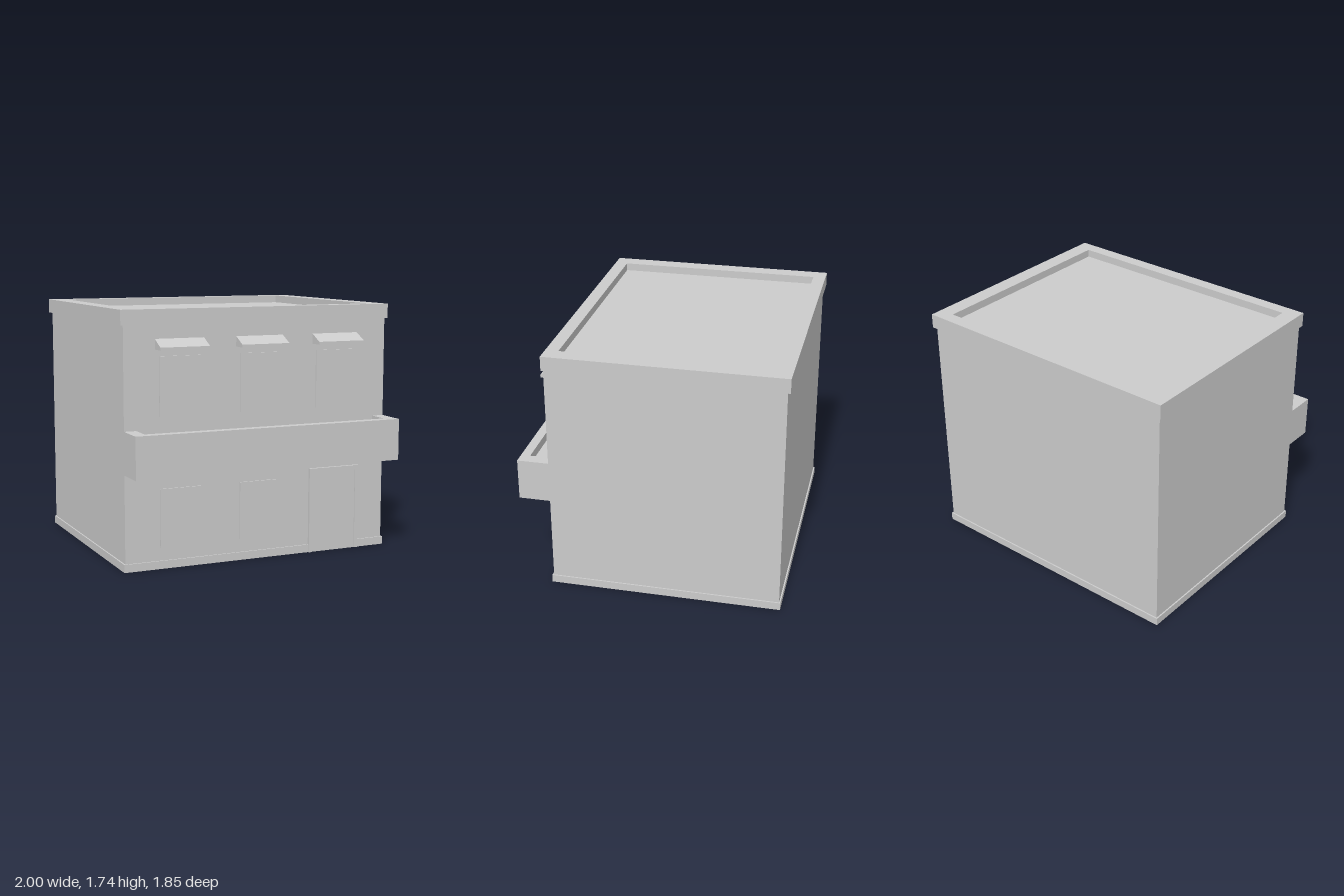
import * as THREE from 'three';

const material = new THREE.MeshStandardMaterial({ color: 0xcccccc, flatShading: true });

export function createModel() {
  const model = new THREE.Group();

  function add(name, geometry) {
    const mesh = new THREE.Mesh(geometry, material);
    mesh.name = name;
    model.add(mesh);
    return mesh;
  }

  // Box given by its limits on each axis
  function box(name, x0, x1, y0, y1, z0, z1) {
    const mesh = add(name, new THREE.BoxGeometry(x1 - x0, y1 - y0, z1 - z0));
    mesh.position.set((x0 + x1) / 2, (y0 + y1) / 2, (z0 + z1) / 2);
    return mesh;
  }

  const rectangle = (Type, x0, x1, y0, y1) => new Type([
    new THREE.Vector2(x0, y0), new THREE.Vector2(x1, y0),
    new THREE.Vector2(x1, y1), new THREE.Vector2(x0, y1),
  ]);

  // Horizontal rim: outer and inner rectangles as [halfWidth, zBack, zFront]
  function rim(name, outer, inner, y0, y1) {
    const shape = rectangle(THREE.Shape, -outer[0], outer[0], -outer[2], -outer[1]);
    shape.holes.push(rectangle(THREE.Path, -inner[0], inner[0], -inner[2], -inner[1]));
    const geometry = new THREE.ExtrudeGeometry(shape, { depth: y1 - y0, bevelEnabled: false });
    geometry.rotateX(-Math.PI / 2);
    add(name, geometry).position.y = y0;
  }

  // Main block and plinth
  box('walls', -0.98, 0.98, 0, 1.66, -0.905, 0.7);
  box('plinth', -0.99, 0.99, 0, 0.055, -0.915, 0.71);

  // Flat roof sunk behind a parapet
  rim('parapet', [1, -0.925, 0.71], [0.885, -0.835, 0.62], 1.64, 1.74);
  box('roof', -0.89, 0.89, 1.645, 1.685, -0.84, 0.625);

  // Balcony across the front: solid base with a raised edge
  box('balconyBase', -0.98, 0.98, 0.655, 0.885, 0.69, 0.92);
  const edge = new THREE.Shape([
    [-0.98, -0.69], [-0.98, -0.92], [0.98, -0.92], [0.98, -0.69],
    [0.895, -0.69], [0.895, -0.855], [-0.895, -0.855], [-0.895, -0.69],
  ].map(([x, y]) => new THREE.Vector2(x, y)));
  const edgeGeometry = new THREE.ExtrudeGeometry(edge, { depth: 0.06, bevelEnabled: false });
  edgeGeometry.rotateX(-Math.PI / 2);
  add('balconyEdge', edgeGeometry).position.y = 0.885;

  // Windows, with a small sloped awning over each upper one
  const awningProfile = new THREE.Shape([
    [-0.69, 1.475], [-0.69, 1.55], [-0.8, 1.495], [-0.8, 1.475],
  ].map(([x, y]) => new THREE.Vector2(x, y)));
  [-0.585, 0, 0.58].forEach((x, i) => {
    box('upperWindow', x - 0.147, x + 0.147, 1.03, 1.43, 0.69, 0.71);
    if (i < 2) box('lowerWindow', x - 0.147, x + 0.147, 0.145, 0.545, 0.69, 0.71);
    const awning = new THREE.ExtrudeGeometry(awningProfile, { depth: 0.35, bevelEnabled: false });
    awning.rotateY(Math.PI / 2);
    add('awning', awning).position.x = x - 0.175;
  });

  // Door panel inside a raised frame
  box('door', 0.41, 0.75, 0, 0.57, 0.69, 0.712);
  const frame = new THREE.Shape([
    [0.385, 0], [0.41, 0], [0.41, 0.57], [0.75, 0.57],
    [0.75, 0], [0.775, 0], [0.775, 0.6], [0.385, 0.6],
  ].map(([x, y]) => new THREE.Vector2(x, y)));
  const frameGeometry = new THREE.ExtrudeGeometry(frame, { depth: 0.03, bevelEnabled: false });
  add('doorFrame', frameGeometry).position.z = 0.69;

  return model;
}
